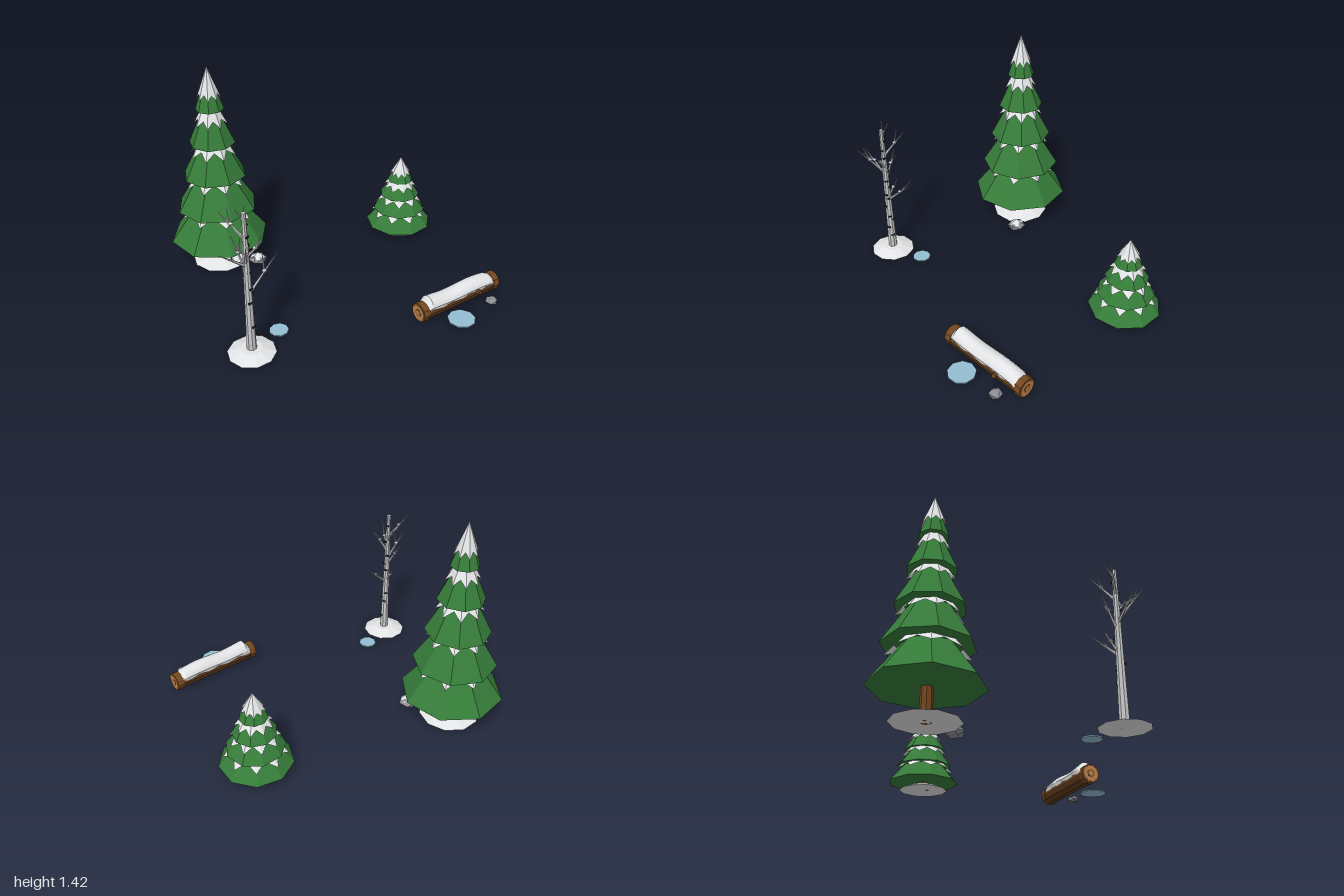
import * as THREE from 'three';
import { ParametricGeometry } from 'three/addons/geometries/ParametricGeometry.js';

const mat = (name, color) =>
  Object.assign(new THREE.MeshStandardMaterial({ color, flatShading: true, side: THREE.DoubleSide }), { name });

const M = {
  needles: mat('needle green', 0x367c3a),
  snow: mat('snow white', 0xe3e4e6),
  bark: mat('bark brown', 0x744720),
  darkBark: mat('dark bark', 0x5f3a1c),
  cutWood: mat('cut wood', 0xb98049),
  birch: mat('birch grey', 0xc8c9cb),
  mark: mat('birch mark', 0x222222),
  rock: mat('rock grey', 0x8b8f94),
  ice: mat('ice blue', 0x93bdd1),
};

const V = (x, y, z) => new THREE.Vector3(x, y, z);

function add(parent, name, geometry, material, x = 0, y = 0, z = 0) {
  const mesh = new THREE.Mesh(geometry, material);
  mesh.name = name;
  mesh.position.set(x, y, z);
  parent.add(mesh);
  return mesh;
}

function part(parent, name, x = 0, z = 0) {
  const g = new THREE.Group();
  g.name = name;
  g.position.set(x, 0, z);
  parent.add(g);
  return g;
}

// Tapered rod from a to b
function rod(parent, name, a, b, ra, rb, material, sides = 5) {
  const dir = b.clone().sub(a);
  const mesh = add(parent, name, new THREE.CylinderGeometry(rb, ra, dir.length(), sides), material);
  mesh.position.copy(a).add(b).multiplyScalar(0.5);
  mesh.quaternion.setFromUnitVectors(V(0, 1, 0), dir.normalize());
  return mesh;
}

// Low faceted mound of snow
function mound(parent, r, h) {
  add(parent, 'snowMound', new THREE.CylinderGeometry(r * 0.45, r, h, 10), M.snow, 0, h / 2, 0);
}

// Open snow cone whose rim alternates between long tips and short valleys
function snowCap(R, H, sides, tip, valley) {
  const top = H * 1.01;
  const geo = new THREE.ConeGeometry(1, 1, sides * 2, 1, true);
  const p = geo.attributes.position;
  for (let i = 0; i < p.count; i++) {
    if (p.getY(i) > 0) { p.setXYZ(i, 0, top, 0); continue; }
    const [f, k] = (i % (sides * 2 + 1)) % 2 ? valley : tip;
    p.setXYZ(i, p.getX(i) * R * k, H * f, p.getZ(i) * R * k);
  }
  geo.computeVertexNormals();
  return geo;
}

// Tiers are [base height, radius, apex height, rim tip, rim valley]; rims are [height share, radius share]
function pine(parent, name, x, z, sides, tiers, moundR, trunkR, turn) {
  const g = part(parent, name, x, z);
  mound(g, moundR, 0.035);
  const trunkH = tiers[0][0] + 0.05;
  add(g, 'trunk', new THREE.CylinderGeometry(trunkR * 0.9, trunkR, trunkH, 8), M.bark, 0, trunkH / 2, 0);
  tiers.forEach(([y, R, apex, tip, valley], i) => {
    const H = apex - y;
    const green = add(g, 'needleTier', new THREE.ConeGeometry(R, H, sides), M.needles, 0, y + H / 2, 0);
    const cap = add(g, 'snowCap', snowCap(R, H, sides, tip, valley), M.snow, 0, y, 0);
    green.rotation.y = cap.rotation.y = 0.06 + i * turn;
  });
}

function birch(parent) {
  const g = part(parent, 'bareBirch', -0.685, 0.59);
  mound(g, 0.15, 0.03);
  rod(g, 'birchTrunk', V(0, 0, 0), V(0, 0.97, 0), 0.031, 0.014, M.birch, 8);

  // Dark bark marks, mostly on the left side
  const heights = [0.13, 0.2, 0.26, 0.29, 0.33, 0.375, 0.44, 0.47, 0.53, 0.58, 0.65, 0.71, 0.76, 0.82, 0.89];
  heights.forEach((y, i) => {
    const a = [0, 0.9, -0.8, 0.3, -1.2, 1.4][i % 6];
    const r = 0.03 - 0.016 * y;
    const m = add(g, 'barkMark', new THREE.BoxGeometry(0.01, 0.01, 0.024), M.mark, Math.cos(a) * r, y, Math.sin(a) * r);
    m.rotation.y = -a;
  });

  // Branches: start height, then tip
  [
    [0.42, 0.2, 0.615, -0.09], [0.64, -0.03, 0.85, 0.165], [0.62, -0.16, 0.77, 0.07],
    [0.8, -0.125, 0.965, -0.05], [0.77, 0.03, 0.925, -0.14], [0.57, -0.06, 0.77, -0.1],
    [0.68, 0.08, 0.82, 0.08], [0.43, -0.01, 0.56, -0.085],
  ].forEach(([y, tx, ty, tz], i) => {
    const a = V(0, y, 0), b = V(tx, ty, tz);
    rod(g, 'branch', a, b, 0.011, 0.002, M.birch);
    const mid = a.clone().lerp(b, 0.55);
    const s = i % 2 ? 1 : -1;
    const out = V(tx, 0, tz).multiplyScalar(0.2);
    rod(g, 'twig', mid, mid.clone().add(V(out.x - s * tz * 0.35, 0.075, out.z + s * tx * 0.35)), 0.006, 0.0015, M.birch, 4);
    const clump = add(g, 'branchSnow', new THREE.IcosahedronGeometry(0.016, 0), M.snow, mid.x, mid.y + 0.006, mid.z);
    clump.scale.y = 0.6;
  });
}

function fallenLog(parent) {
  const g = part(parent, 'fallenLog', 0.677, 0.542);
  g.rotation.y = 0.28;
  const cy = 0.064;
  const along = (name, r, len, m, x) => {
    const mesh = add(g, name, new THREE.CylinderGeometry(r, r, len, 10), m, x, cy, 0);
    mesh.rotation.z = Math.PI / 2;
  };
  along('logBody', 0.06, 0.6, M.darkBark, 0);
  for (const s of [-1, 1]) {
    along('endBark', 0.064, 0.045, M.bark, s * 0.295);
    along('cutEnd', 0.053, 0.006, M.cutWood, s * 0.317);
    along('growthRing', 0.026, 0.004, M.bark, s * 0.319);
    along('heartwood', 0.018, 0.004, M.cutWood, s * 0.32);
  }
  rod(g, 'branchStub', V(0.12, 0.075, 0.04), V(0.13, 0.085, 0.083), 0.019, 0.015, M.bark, 7);

  // Wavy snow blanket lying over the upper half
  const blanket = new ParametricGeometry((u, v, t) => {
    const end = u < 0.01 || u > 0.99;
    const a = Math.PI * (0.06 + 0.88 * v) + (v < 0.1 || v > 0.9 ? 0.09 * Math.sin(u * 23) : 0);
    const lift = 0.022 + 0.008 * Math.cos(u * 9) - 0.014 * u;
    const edge = v < 0.01 || v > 0.99;
    const r = end || edge ? 0.056 : 0.068;
    const w = end ? 0 : lift * Math.max(0, Math.sin(a));
    t.set((u - 0.5) * (end ? 0.555 : 0.57), cy + Math.sin(a) * r + w, Math.cos(a) * r);
  }, 14, 10);
  add(g, 'logSnow', blanket, M.snow);
}

function rock(parent, x, z, r, h, snowy) {
  const g = part(parent, 'rock', x, z);
  const stone = add(g, 'stone', new THREE.IcosahedronGeometry(r, 0), M.rock, 0, h / 2, 0);
  stone.scale.y = h / (1.8 * r);
  stone.rotation.y = 0.5;
  if (snowy) add(g, 'rockSnow', new THREE.ConeGeometry(r * 0.75, 0.035, 6), M.snow, 0, h + 0.002, 0);
}

function puddle(parent, x, z, r) {
  add(parent, 'icePuddle', new THREE.CylinderGeometry(r, r, 0.008, 9), M.ice, x, 0.004, z);
}

export function createModel() {
  const model = new THREE.Group();
  model.name = 'winterWoodland';

  const tip = [0.38, 0.73], valley = [0.5, 0.54];
  const wideTip = [0.26, 0.86], wideValley = [0.4, 0.65];
  pine(model, 'tallPine', -0.67, -0.46, 8, [
    [0.195, 0.333, 0.64, tip, valley],
    [0.43, 0.27, 0.87, tip, valley],
    [0.665, 0.21, 1.07, tip, valley],
    [0.9, 0.152, 1.25, tip, valley],
    [1.135, 0.092, 1.42, wideTip, wideValley],
  ], 0.2, 0.038, 0.12);
  pine(model, 'smallPine', 0.675, -0.46, 9, [
    [0.05, 0.235, 0.33, wideTip, wideValley],
    [0.165, 0.186, 0.42, wideTip, wideValley],
    [0.28, 0.14, 0.5, wideTip, wideValley],
    [0.395, 0.09, 0.575, wideTip, wideValley],
  ], 0.16, 0.04, 0.25);

  birch(model);
  fallenLog(model);
  rock(model, -0.445, -0.3, 0.065, 0.065, true);
  rock(model, 0.895, 0.61, 0.043, 0.045, false);
  puddle(model, -0.485, 0.455, 0.062);
  puddle(model, 0.64, 0.7, 0.09);
  return model;
}
